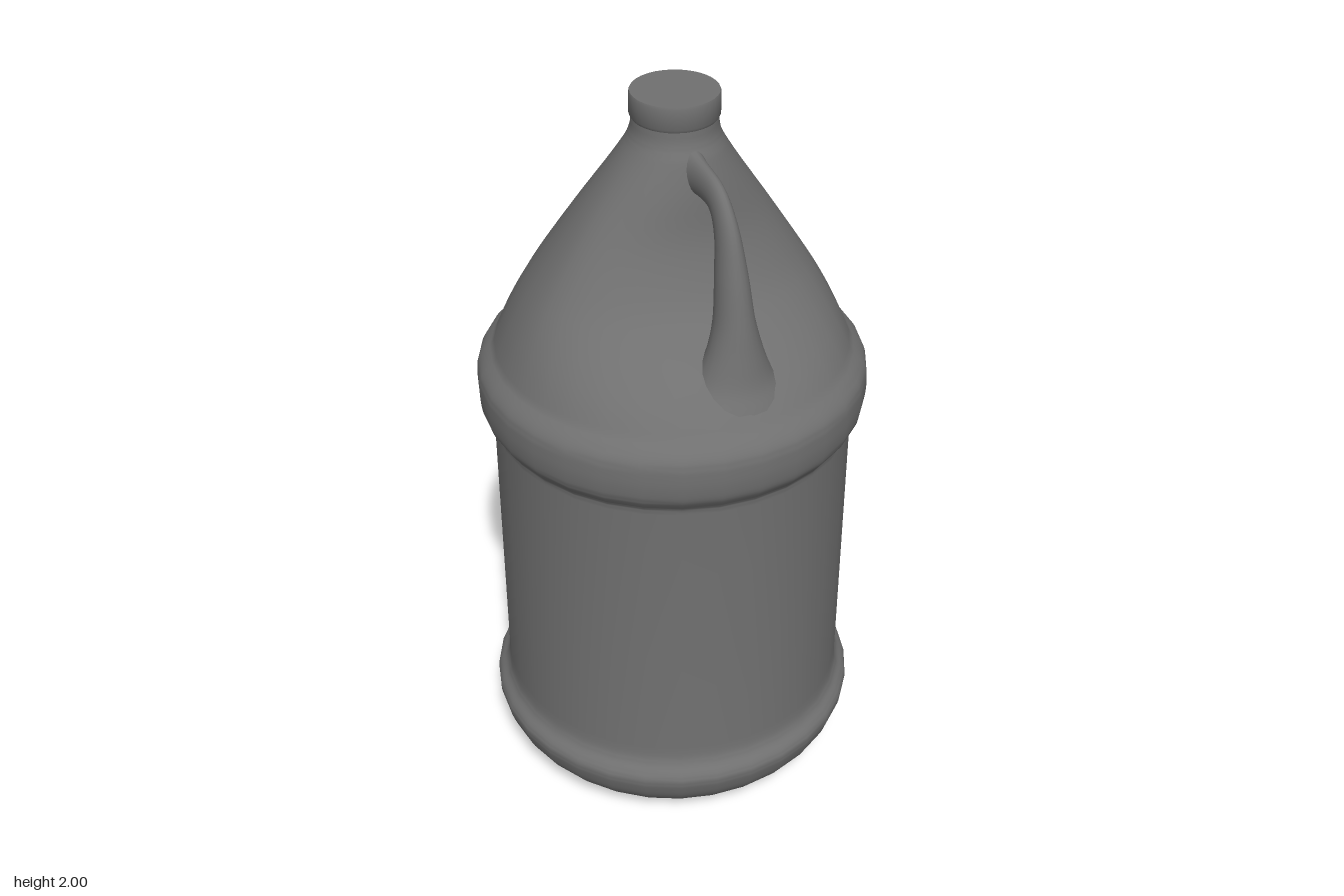
import * as THREE from 'three';
import { mergeVertices, toCreasedNormals } from 'three/addons/utils/BufferGeometryUtils.js';

const SIDES = 32;
const NECK_X = 0.01, NECK_Z = -0.006; // the neck sits slightly off the axis
const material = new THREE.MeshStandardMaterial({ color: 0x707070 });

// Smooth curve through [a, b] pairs
const smooth = (pairs, n) =>
  new THREE.SplineCurve(pairs.map(([a, b]) => new THREE.Vector2(a, b))).getPoints(n);

// Linear lookup of a value over increasing y in [y, value] pairs
function lookup(table, y) {
  if (y <= table[0][0]) return table[0][1];
  for (let i = 1; i < table.length; i++) {
    const [y0, v0] = table[i - 1], [y1, v1] = table[i];
    if (y <= y1) return v0 + (v1 - v0) * (y - y0) / (y1 - y0);
  }
  return table[table.length - 1][1];
}

function mesh(name, geometry) {
  const m = new THREE.Mesh(geometry, material);
  m.name = name;
  return m;
}

// Revolved part whose vertices are then moved by a rule
function lathe(name, points, crease, move) {
  let geo = new THREE.LatheGeometry(points, SIDES);
  geo.deleteAttribute('uv');
  geo.deleteAttribute('normal');
  const p = geo.attributes.position, v = new THREE.Vector3();
  for (let i = 0; i < p.count; i++) {
    v.fromBufferAttribute(p, i);
    move(v);
    p.setXYZ(i, v.x, v.y, v.z);
  }
  geo = mergeVertices(geo, 1e-5);
  return mesh(name, toCreasedNormals(geo, crease));
}

function createBody() {
  const base = smooth([[0.27, 0], [0.35, 0.018], [0.43, 0.068], [0.48, 0.125], [0.501, 0.175],
    [0.506, 0.205], [0.499, 0.225], [0.482, 0.245], [0.473, 0.268], [0.47, 0.3]], 32);
  const band = smooth([[0.47, 1.09], [0.472, 1.112], [0.484, 1.13], [0.499, 1.155], [0.505, 1.19],
    [0.506, 1.225], [0.503, 1.26], [0.489, 1.286], [0.463, 1.312]], 28);
  const shoulder = smooth([[0.463, 1.312], [0.42, 1.41], [0.365, 1.51], [0.26, 1.67],
    [0.17, 1.8], [0.125, 1.87], [0.11, 1.905], [0.106, 1.94]], 36);
  const profile = [new THREE.Vector2(0, 0), ...base, ...band, ...shoulder.slice(1)];

  // Front depth of the shoulder, pressed in behind the handle
  const radius = shoulder.map((q) => [q.y, q.x]);
  const depth = smooth([[1.312, 0.463], [1.36, 0.42], [1.41, 0.36], [1.47, 0.287], [1.54, 0.222],
    [1.66, 0.167], [1.79, 0.145], [1.87, 0.125], [1.905, 0.11], [1.94, 0.106]], 40)
    .map((q) => [q.x, q.y]);

  return lathe('body', profile, 1.2, (v) => {
    if (v.y <= 1.312) return;
    if (v.z > 0) v.z *= Math.min(1, lookup(depth, v.y) / lookup(radius, v.y));
    const t = (v.y - 1.312) / 0.628;
    v.x += NECK_X * t;
    v.z += NECK_Z * t;
  });
}

function createCap() {
  const profile = [[0, 1.934], [0.106, 1.934], [0.111, 1.943], [0.111, 1.994], [0.109, 2], [0, 2]];
  return lathe('cap', profile.map(([r, y]) => new THREE.Vector2(r, y)), 0.9, (v) => {
    v.x += NECK_X;
    v.z += NECK_Z;
  });
}

function createHandle() {
  // Stations from neck to foot: outer z, outer y, inner z, inner y, half width
  const stations = [
    [0.08, 1.895, 0.08, 1.77, 0.04],
    [0.14, 1.882, 0.14, 1.787, 0.026],
    [0.245, 1.858, 0.21, 1.783, 0.022],
    [0.31, 1.79, 0.24, 1.74, 0.026],
    [0.355, 1.67, 0.258, 1.65, 0.038],
    [0.383, 1.55, 0.27, 1.54, 0.05],
    [0.4, 1.46, 0.272, 1.475, 0.07],
    [0.416, 1.39, 0.26, 1.42, 0.095],
    [0.441, 1.335, 0.26, 1.37, 0.125],
    [0.462, 1.28, 0.26, 1.31, 0.15],
  ];
  const curve = (f) => new THREE.CatmullRomCurve3(stations.map(f));
  const outer = curve((s) => new THREE.Vector3(0, s[1], s[0]));
  const inner = curve((s) => new THREE.Vector3(0, s[3], s[2]));
  const width = curve((s, i) => new THREE.Vector3(s[4], i, 0));
  const rings = 45, n = 20, pos = [], index = [];
  for (let i = 0; i <= rings; i++) {
    const t = i / rings;
    const a = outer.getPoint(t), b = inner.getPoint(t), w = width.getPoint(t).x;
    const mid = a.clone().add(b).multiplyScalar(0.5);
    const half = a.sub(b).multiplyScalar(0.5);
    for (let j = 0; j < n; j++) {
      const ang = (j / n) * Math.PI * 2, c = Math.cos(ang);
      pos.push(NECK_X * 0.7 + Math.sin(ang) * w, mid.y + half.y * c, mid.z + half.z * c);
      if (i < rings) {
        const k = i * n + j, k1 = i * n + (j + 1) % n;
        index.push(k, k + n, k1, k1, k + n, k1 + n);
      }
    }
  }
  const geo = new THREE.BufferGeometry();
  geo.setAttribute('position', new THREE.Float32BufferAttribute(pos, 3));
  geo.setIndex(index);
  geo.computeVertexNormals();
  return mesh('handle', geo);
}

export function createModel() {
  const group = new THREE.Group();
  group.name = 'jug';
  group.add(createBody(), createCap(), createHandle());
  return group;
}
